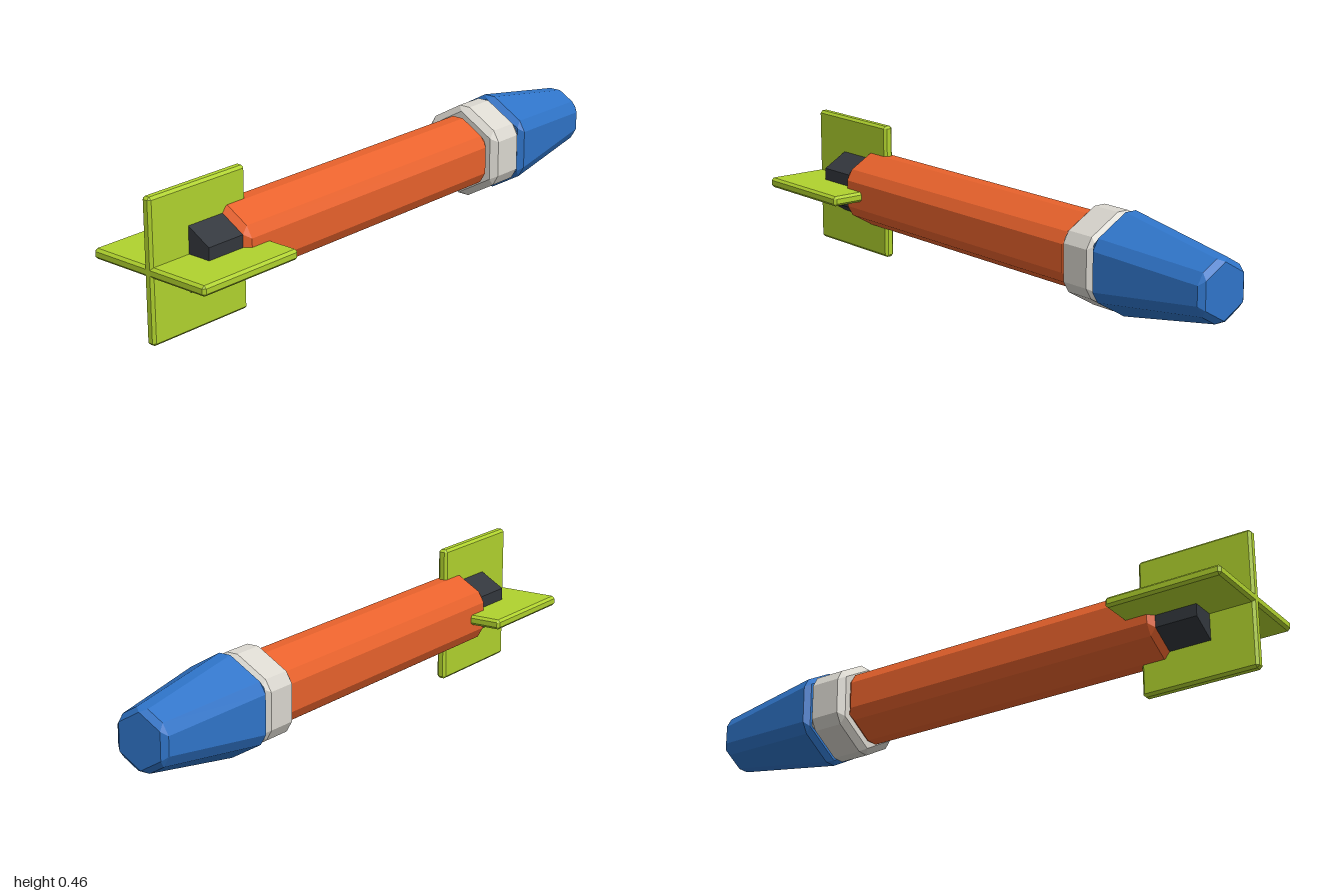
import * as THREE from 'three';
import { ConvexGeometry } from 'three/addons/geometries/ConvexGeometry.js';

const CENTER_Y = 0.2315;
const CUT = 0.024; // length trimmed off each hexagon corner

// Hexagon points (corner up) at depth z; a cut > 0 trims every corner into two points
function hexRing(apothem, z, cut = 0) {
  const corner = (i) => {
    const a = Math.PI / 2 + (i * Math.PI) / 3;
    const r = apothem / Math.cos(Math.PI / 6);
    return new THREE.Vector3(r * Math.cos(a), r * Math.sin(a), z);
  };
  const points = [];
  for (let i = 0; i < 6; i++) {
    const c = corner(i);
    if (cut === 0) {
      points.push(c);
      continue;
    }
    for (const step of [-1, 1]) {
      const along = corner(i + step).sub(c).normalize();
      points.push(c.clone().addScaledVector(along, cut));
    }
  }
  return points;
}

// Bevelled hexagonal prism or taper between two depths
function bevelledHex(frontApothem, frontZ, backApothem, backZ, inset, depth) {
  return new ConvexGeometry([
    ...hexRing(frontApothem - inset, frontZ),
    ...hexRing(frontApothem, frontZ - depth, CUT),
    ...hexRing(backApothem, backZ + depth, CUT),
    ...hexRing(backApothem - inset, backZ),
  ]);
}

// Box with all edges chamfered by b
function chamferBox(w, h, d, b) {
  const points = [];
  for (const x of [-1, 1]) for (const y of [-1, 1]) for (const z of [-1, 1]) {
    for (let face = 0; face < 3; face++) {
      const inset = [b, b, b];
      inset[face] = 0;
      points.push(new THREE.Vector3(
        x * (w / 2 - inset[0]), y * (h / 2 - inset[1]), z * (d / 2 - inset[2])));
    }
  }
  return new ConvexGeometry(points);
}

export function createModel() {
  const rocket = new THREE.Group();
  rocket.name = 'rocket';

  const paint = (color) => new THREE.MeshStandardMaterial({ color, flatShading: true });
  const add = (name, geometry, material) => {
    const mesh = new THREE.Mesh(geometry, material);
    mesh.name = name;
    mesh.position.y = CENTER_Y;
    rocket.add(mesh);
    return mesh;
  };

  // Long body, collar and tapered nose
  add('body', bevelledHex(0.12, 0.708, 0.12, -0.447, 0.02, 0.018), paint(0xe8622c));
  add('collar', bevelledHex(0.146, -0.447, 0.146, -0.586, 0.022, 0.018), paint(0xdbd8d0));
  add('nose', bevelledHex(0.151, -0.586, 0.095, -1, 0.018, 0.016), paint(0x2f74c8));

  // Plain hexagonal exhaust behind the body
  add('exhaust', new ConvexGeometry([...hexRing(0.1, 0.849), ...hexRing(0.1, 0.69)]), paint(0x33373d));

  // Two crossed plates form the four tail fins
  const lime = paint(0xb0d22e);
  for (const [name, angle] of [['verticalFins', 0], ['horizontalFins', Math.PI / 2]]) {
    const fins = add(name, chamferBox(0.034, 0.463, 0.392, 0.0085), lime);
    fins.position.z = 0.804;
    fins.rotation.z = angle;
  }

  return rocket;
}
